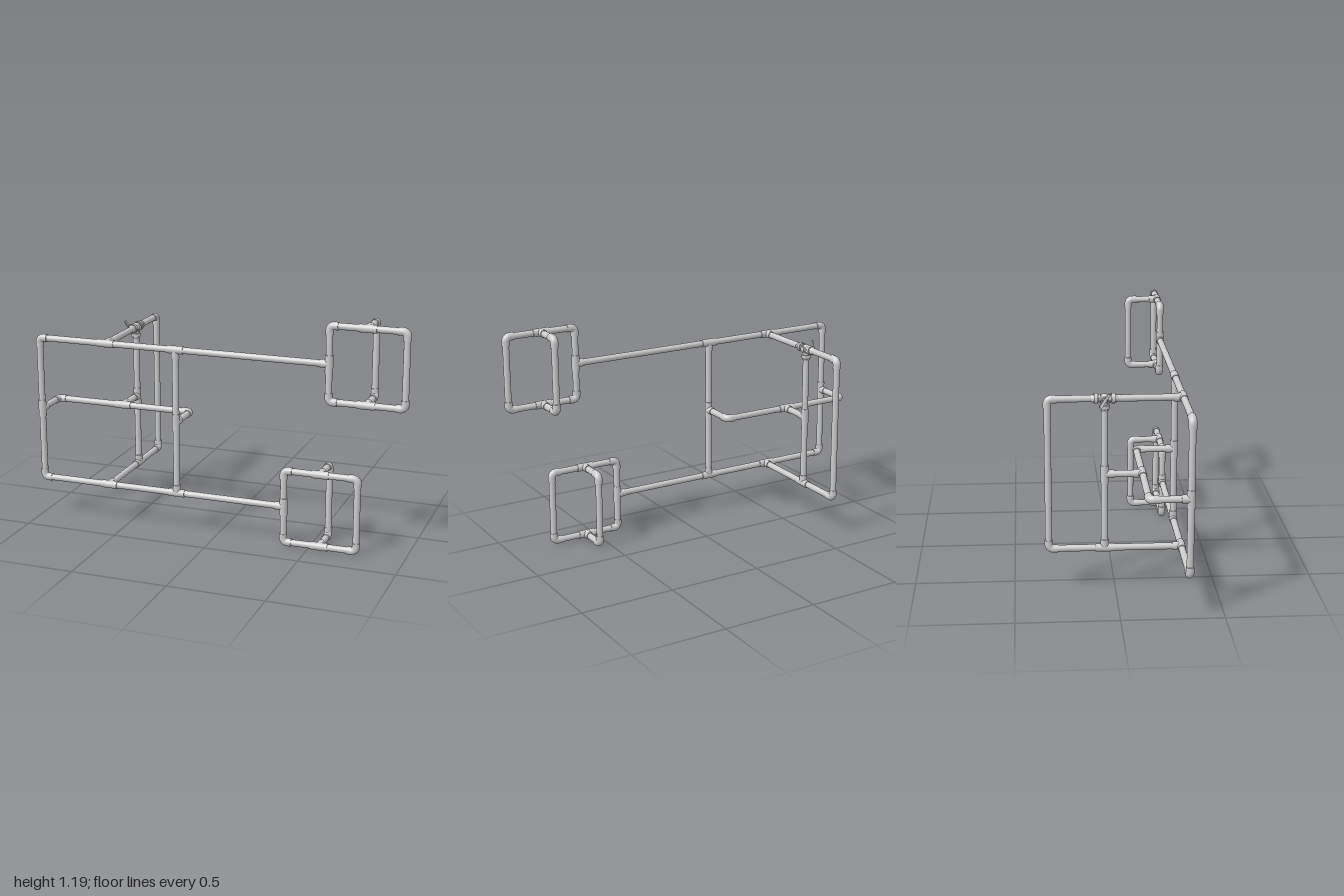
import * as THREE from 'three';

const PIPE = 0.017, FIT = 0.0205, ARM = 0.045, BEND = 0.0235;
const V = (x, y, z) => new THREE.Vector3(x, y, z);
const X = V(1, 0, 0), Y = V(0, 1, 0), Z = V(0, 0, 1);
const neg = (v) => v.clone().negate();
const at = (p, d, s) => p.clone().addScaledVector(d, s);

export function createModel() {
  const root = new THREE.Group();
  root.name = 'pipeFrame';
  const mat = new THREE.MeshStandardMaterial({ color: 0xcccccc });

  const add = (parent, name, geo) => {
    const m = new THREE.Mesh(geo, mat);
    m.name = name;
    parent.add(m);
    return m;
  };
  const group = (name) => {
    const g = new THREE.Group();
    g.name = name;
    root.add(g);
    return g;
  };

  // straight cylinder (or cone) from a to b
  function rod(parent, name, a, b, r = PIPE, r2 = r, sides = 24) {
    const d = b.clone().sub(a);
    const m = add(parent, name, new THREE.CylinderGeometry(r2, r, d.length(), sides));
    m.position.copy(a).add(b).multiplyScalar(0.5);
    m.quaternion.setFromUnitVectors(Y, d.normalize());
    return m;
  }
  // elbow at corner p with arms along d1 and d2
  function elbow(parent, p, d1, d2) {
    const g = new THREE.Group();
    g.name = 'elbow';
    parent.add(g);
    for (const d of [d1, d2]) rod(g, 'socket', at(p, d, BEND), at(p, d, ARM), FIT);
    const k = BEND * 0.4477;
    const curve = new THREE.CubicBezierCurve3(at(p, d1, BEND), at(p, d1, k), at(p, d2, k), at(p, d2, BEND));
    add(g, 'bend', new THREE.TubeGeometry(curve, 12, FIT, 24));
  }
  // tee at p: run along axis, one branch
  function tee(parent, p, axis, branch) {
    const g = new THREE.Group();
    g.name = 'tee';
    parent.add(g);
    rod(g, 'run', at(p, axis, -ARM), at(p, axis, ARM), FIT);
    rod(g, 'branch', p, at(p, branch, ARM), FIT);
  }
  // pipe whose ends stop inside its fittings
  function pipe(parent, a, b) {
    const d = b.clone().sub(a).normalize();
    rod(parent, 'pipe', at(a, d, 0.026), at(b, d, -0.026));
  }

  const zF = 0.329, zB = -0.329, zMid = 0.133, zPost = -0.052, zLoop = 0.165;
  const yLow = 0.2125, yMid = 0.597, yTop = 0.981;
  const xL = -0.979, xC = -0.598, xR = -0.214;

  // main rectangle with two long rails
  const main = group('mainFrame');
  const rails = [[yTop, 0.594], [yLow, 0.3685]];
  for (const [y, xEnd] of rails) {
    const up = y === yTop ? neg(Y) : Y;
    elbow(main, V(xL, y, zF), X, up);
    tee(main, V(xC, y, zF), X, neg(Z));
    tee(main, V(xR, y, zF), X, up);
    const stops = [xL, xC, xR, xEnd];
    for (let i = 0; i < 3; i++) pipe(main, V(stops[i], y, zF), V(stops[i + 1], y, zF));
  }
  for (const x of [xL, xR]) {
    tee(main, V(x, yMid, zF), Y, neg(Z));
    pipe(main, V(x, yLow, zF), V(x, yMid, zF));
    pipe(main, V(x, yMid, zF), V(x, yTop, zF));
  }

  // middle rail set back from the front
  const mid = group('middleRail');
  for (const [x, d] of [[xL, X], [xR, neg(X)]]) {
    elbow(mid, V(x, yMid, zMid), Z, d);
    pipe(mid, V(x, yMid, zF), V(x, yMid, zMid));
    pipe(mid, V(x, yMid, zMid), V(xC, yMid, zMid));
  }
  tee(mid, V(xC, yMid, zMid), X, neg(Z));
  pipe(mid, V(xC, yMid, zMid), V(xC, yMid, zPost));

  // rear stand
  const rear = group('rearStand');
  tee(rear, V(xC, yLow, zPost), Z, Y);
  tee(rear, V(xC, yMid, zPost), Y, Z);
  elbow(rear, V(xC, yLow, zB), Z, Y);
  elbow(rear, V(xC, yTop, zB), Z, neg(Y));
  pipe(rear, V(xC, yLow, zF), V(xC, yLow, zPost));
  pipe(rear, V(xC, yLow, zPost), V(xC, yLow, zB));
  pipe(rear, V(xC, yLow, zB), V(xC, yTop, zB));
  pipe(rear, V(xC, yLow, zPost), V(xC, yMid, zPost));
  const hub = V(xC, yTop, zPost);
  pipe(rear, V(xC, yMid, zPost), at(hub, Y, -0.045));
  pipe(rear, V(xC, yTop, zF), at(hub, Z, 0.05));
  pipe(rear, V(xC, yTop, zB), at(hub, Z, -0.05));

  // three-way valve with union nuts
  const valve = group('valve');
  add(valve, 'body', new THREE.SphereGeometry(0.024, 24, 16)).position.copy(hub);
  for (const d of [Z, neg(Z), neg(Y)]) {
    rod(valve, 'neck', hub, at(hub, d, 0.075), 0.0165);
    rod(valve, 'nut', at(hub, d, 0.033), at(hub, d, 0.051), 0.0265, 0.0265, 8);
    rod(valve, 'flange', at(hub, d, 0.02), at(hub, d, 0.029), 0.022);
    rod(valve, 'adapter', at(hub, d, 0.054), at(hub, d, 0.066), 0.021, 0.016);
  }
  rod(valve, 'stem', hub, at(hub, X, -0.048), 0.009);
  rod(valve, 'bonnet', at(hub, X, -0.016), at(hub, X, -0.03), 0.016, 0.013);
  rod(valve, 'backBoss', hub, at(hub, X, 0.027), 0.015);

  // butterfly handle, wings swept outwards
  const handle = new THREE.Group();
  handle.name = 'valveHandle';
  handle.position.copy(at(hub, X, -0.043));
  handle.rotation.x = 0.6;
  valve.add(handle);
  for (const s of [1, -1]) {
    const wing = add(handle, 'wing', new THREE.BoxGeometry(0.006, 0.038, 0.015));
    wing.position.set(-0.005, s * 0.021, 0);
    wing.rotation.z = s * 0.25;
  }

  // square end loops, each with a rear handle bar
  for (const [x0, yc, name] of [[0.594, yTop, 'upperLoop'], [0.3685, yLow, 'lowerLoop']]) {
    const g = group(name), h = 0.192, xm = x0 + h, x1 = x0 + 2 * h;
    for (const s of [1, -1]) {
      const y = yc + s * h, inward = V(0, -s, 0);
      elbow(g, V(x0, y, zF), X, inward);
      elbow(g, V(x1, y, zF), neg(X), inward);
      tee(g, V(xm, y, zF), X, neg(Z));
      elbow(g, V(xm, y, zLoop), Z, inward);
      pipe(g, V(x0, y, zF), V(xm, y, zF));
      pipe(g, V(xm, y, zF), V(x1, y, zF));
      pipe(g, V(xm, y, zF), V(xm, y, zLoop));
      pipe(g, V(x0, yc, zF), V(x0, y, zF));
    }
    tee(g, V(x0, yc, zF), Y, neg(X));
    pipe(g, V(x1, yc - h, zF), V(x1, yc + h, zF));
    pipe(g, V(xm, yc - h, zLoop), V(xm, yc + h, zLoop));
  }
  return root;
}
